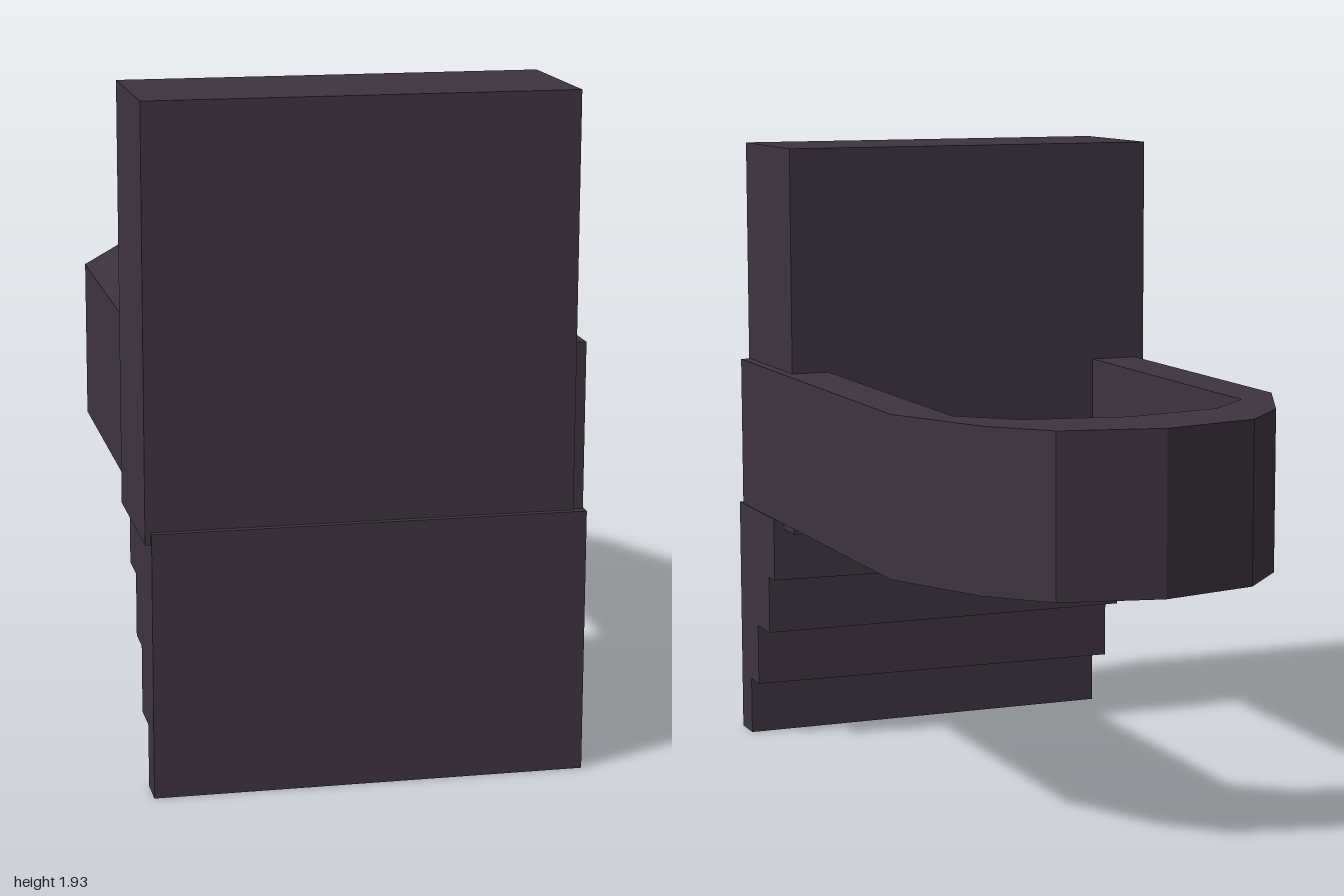
import * as THREE from 'three';

const material = new THREE.MeshStandardMaterial({ color: 0x3e3440, flatShading: true });

// Upright prism from a plan outline of [x, z] points, between two heights
function prism(name, plan, y0, y1) {
  const shape = new THREE.Shape(plan.map(([x, z]) => new THREE.Vector2(x, -z)));
  const geometry = new THREE.ExtrudeGeometry(shape, { depth: y1 - y0, bevelEnabled: false });
  geometry.rotateX(-Math.PI / 2).translate(0, y0, 0);
  const mesh = new THREE.Mesh(geometry, material);
  mesh.name = name;
  return mesh;
}

export function createModel() {
  const model = new THREE.Group();
  model.name = 'steppedBracket';

  // Thick upright panel
  model.add(prism('panel', [[-0.62, 0.98], [0.585, 0.98], [0.585, 0.53], [-0.62, 0.53]], 0.72, 1.93));

  // Horizontal band: two straight arms joined by a faceted arch, mirrored about x = 0.0125
  const cx = 0.0125;
  const mirrored = (half) => [
    ...half.map(([x, z]) => [cx - x, z]),
    [cx, half.apex],
    ...half.slice().reverse().map(([x, z]) => [cx + x, z]),
  ];
  const outer = Object.assign([[0.603, 0.97], [0.603, -0.445], [0.453, -0.765], [0.3, -0.93]], { apex: -1 });
  const inner = Object.assign([[0.453, 0.97], [0.453, -0.545], [0.3, -0.69]], { apex: -0.75 });
  model.add(prism('loopBand', [...mirrored(outer), ...mirrored(inner).reverse()], 0.755, 1.23));

  // Inverted stair under the panel: bottom, top, back z at the left end, back z at the right end
  const stair = new THREE.Group();
  stair.name = 'stair';
  [
    [0, 0.18, 0.9, 0.9],
    [0.18, 0.375, 0.82, 0.79],
    [0.375, 0.557, 0.695, 0.695],
    [0.557, 0.755, 0.635, 0.585],
  ].forEach(([y0, y1, zLeft, zRight], i) => {
    const plan = [[-0.605, 1], [0.618, 1], [0.618, zLeft], [-0.605, zRight]];
    stair.add(prism(`step${i + 1}`, plan, y0, y1));
  });
  model.add(stair);

  return model;
}
